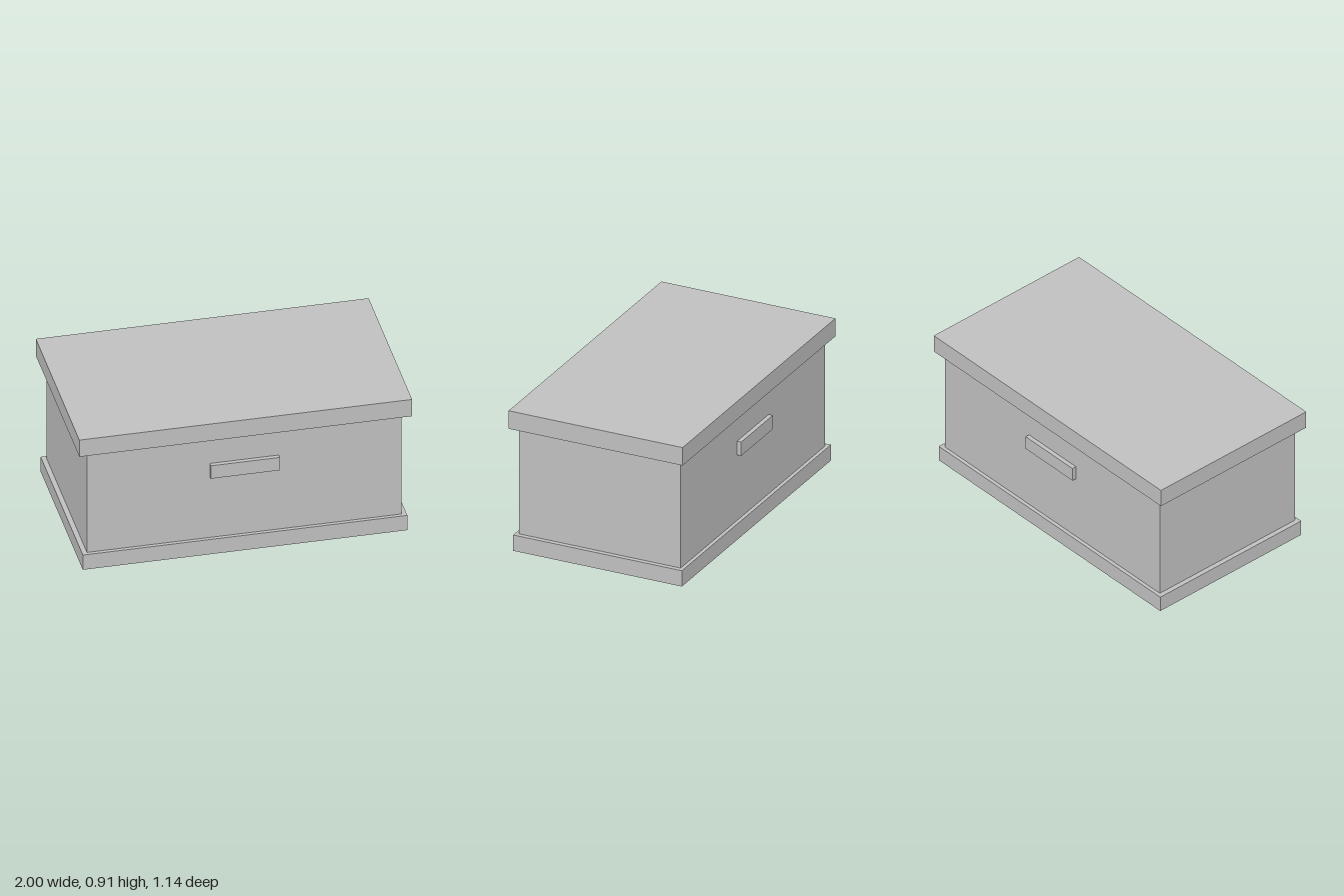
import * as THREE from 'three';

export function createModel() {
  const model = new THREE.Group();
  model.name = 'chest';
  const grey = new THREE.MeshStandardMaterial({ color: 0xc0c0c0 });
  grey.name = 'light grey';

  // Box given by its width, depth and vertical extent
  function slab(name, width, depth, bottom, top, z = 0) {
    const mesh = new THREE.Mesh(new THREE.BoxGeometry(width, top - bottom, depth), grey);
    mesh.name = name;
    mesh.position.set(0, (bottom + top) / 2, z);
    model.add(mesh);
  }

  // Plinth, case and overhanging lid
  slab('base', 1.95, 1.106, 0, 0.102);
  slab('body', 1.89, 1.06, 0.102, 0.796);
  slab('lid', 2, 1.14, 0.796, 0.912);

  // Matching grips on the front and back
  for (const [name, side] of [['frontHandle', 1], ['backHandle', -1]]) {
    slab(name, 0.414, 0.028, 0.525, 0.614, side * 0.543);
  }
  return model;
}
